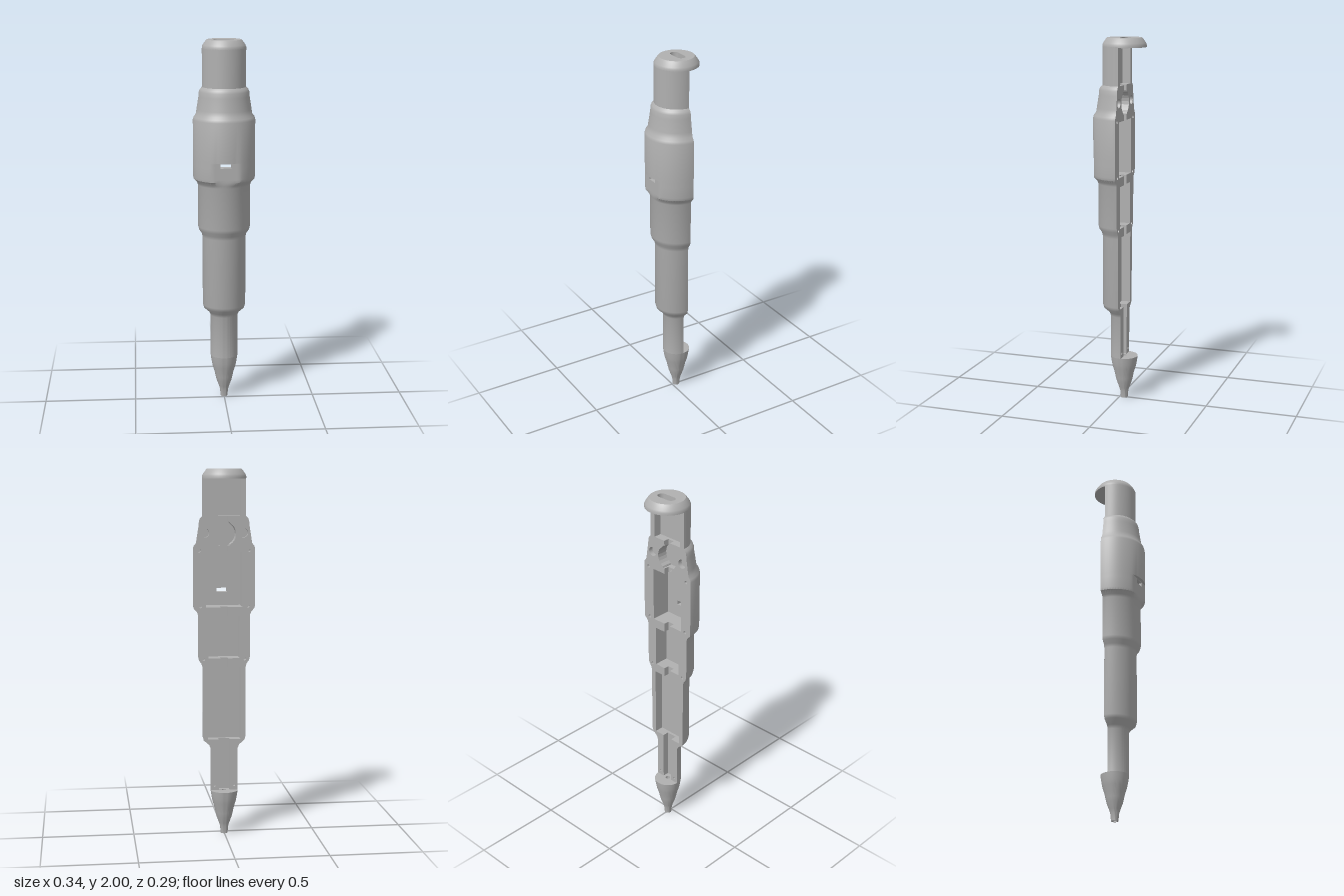
import * as THREE from 'three';
import { toCreasedNormals } from 'three/addons/utils/BufferGeometryUtils.js';

const RIM = -0.004; // parting plane, relative to the barrel axis

// Outer barrel rows: [radius, y, has the flat front panel]
const BARREL = [
  [0.075, 0.245], [0.075, 0.48], [0.083, 0.5], [0.112, 0.525], [0.118, 0.545], [0.118, 0.93],
  [0.123, 0.95], [0.137, 0.97], [0.142, 0.99], [0.142, 1.22], [0.148, 1.235], [0.166, 1.255, 1],
  [0.168, 1.27, 1], [0.168, 1.332, 1], [0.168, 1.355, 1], [0.168, 1.36, 1], [0.168, 1.36],
  [0.168, 1.575], [0.164, 1.59], [0.152, 1.605], [0.148, 1.63], [0.137, 1.7], [0.135, 1.725],
  [0.13, 1.738], [0.118, 1.75], [0.118, 1.955],
];

// Inside bays from the bottom up: [y0, y1, half width at y0, at y1, depth]
const BAYS = [
  [0.245, 0.53, 0.03, 0.03, 0.035],
  [0.53, 0.93, 0.09, 0.09, 0.05],
  [0.93, 0.98, 0.02, 0.02, 0.03],
  [0.98, 1.21, 0.085, 0.085, 0.08],
  [1.21, 1.26, 0.02, 0.02, 0.03],
  [1.26, 1.56, 0.1, 0.1, 0.11],
  [1.56, 1.59, 0.02, 0.02, 0.03],
];
// Round bay, made of tapering slices
const bow = (t) => Math.max(0.03, 0.065 * Math.sin(t * Math.PI));
const bowY = (t) => 1.655 - 0.065 * Math.cos(t * Math.PI);
for (let i = 0; i < 12; i++) {
  const a = i / 12, b = (i + 1) / 12;
  BAYS.push([bowY(a), bowY(b), bow(a), bow(b), 0.06]);
}
BAYS.push([1.72, 1.75, 0.02, 0.02, 0.03], [1.75, 1.95, 0.09, 0.09, 0.045]);

// Round sockets in the rim: [x, y, radius, depth], mirrored
const SOCKETS = [
  [0.105, 1.66, 0.025, 0.025], [0.135, 1.565, 0.009, 0.03], [0.13, 1.265, 0.009, 0.03],
  [0.112, 0.975, 0.008, 0.03], [0.055, 0.27, 0.007, 0.02],
].flatMap(([x, y, r, d]) => [[x, y, r, d], [-x, y, r, d]]);

const WINDOW = { w: 0.029, y0: 1.332, y1: 1.355 };

const shapeOf = (pts) => new THREE.Shape(pts.map(([x, y]) => new THREE.Vector2(x, y)));
const rect = (x, y0, y1) => [[-x, y0], [x, y0], [x, y1], [-x, y1]];

function quads(list) {
  const pos = [];
  for (const [a, b, c, d] of list) pos.push(...a, ...b, ...c, ...a, ...c, ...d);
  const g = new THREE.BufferGeometry();
  g.setAttribute('position', new THREE.Float32BufferAttribute(pos, 3));
  g.computeVertexNormals();
  return g;
}

// Half-round shell with a flat panel and a window opening
function barrelGeometry() {
  const n = 36, faces = [];
  const point = ([r, y, flat], i) => {
    const end = Math.PI / 2 + Math.asin(-RIM / r);
    const a = end * (i / n * 2 - 1);
    const z = r * Math.cos(a);
    return [r * Math.sin(a), y, flat ? Math.min(z, 0.15) : z];
  };
  for (let j = 0; j < BARREL.length - 1; j++) {
    const lo = BARREL[j], hi = BARREL[j + 1];
    for (let i = 0; i < n; i++) {
      if (lo[1] === WINDOW.y0 && i >= 16 && i < 20) continue;
      faces.push([point(lo, i), point(lo, i + 1), point(hi, i + 1), point(hi, i)]);
    }
  }
  return toCreasedNormals(quads(faces), 0.6);
}

// Flat parting face with the bays and sockets cut out
function rimGeometry() {
  const side = BARREL.filter((p, i) => i === 0 || p[1] !== BARREL[i - 1][1]).map(([r, y]) => [r, y]);
  const mirror = (pts) => pts.map(([x, y]) => [-x, y]).reverse();
  const shape = shapeOf([...side, ...mirror(side)]);
  const inner = [];
  BAYS.forEach(([y0, y1, w0, w1], i) => {
    const last = inner[inner.length - 1];
    if (!last || Math.abs(last[0] - w0) > 1e-6) inner.push([w0, i ? y0 : y0 + 0.001]);
    inner.push([w1, y1]);
  });
  shape.holes.push(shapeOf([...inner, ...mirror(inner)]));
  for (const [x, y, r] of SOCKETS) shape.holes.push(new THREE.Path().absarc(x, y, r, 0, Math.PI * 2));
  return new THREE.ShapeGeometry(shape, 10).translate(0, 0, RIM);
}

export function createModel() {
  const model = new THREE.Group();
  const grey = new THREE.MeshStandardMaterial({ color: 0xb0b0b0, side: THREE.DoubleSide });
  grey.name = 'plain grey';
  const body = new THREE.Group();
  body.name = 'penBody';
  body.position.z = -0.026;
  model.add(body);
  const add = (name, geometry) => {
    const mesh = new THREE.Mesh(geometry, grey);
    mesh.name = name;
    body.add(mesh);
  };

  add('barrelShell', barrelGeometry());
  add('partingRim', rimGeometry());

  // Bay side walls and floors
  const walls = [];
  BAYS.forEach(([y0, y1, w0, w1, d], i) => {
    const z = RIM + d;
    for (const s of [-1, 1]) {
      walls.push([[s * w0, y0, RIM], [s * w1, y1, RIM], [s * w1, y1, z], [s * w0, y0, z]]);
    }
    const floor = shapeOf([[-w0, y0], [w0, y0], [w1, y1], [-w1, y1]]);
    if (y0 < WINDOW.y0 && y1 > WINDOW.y1) {
      floor.holes.push(shapeOf(rect(WINDOW.w, WINDOW.y0, WINDOW.y1)));
      // Passage from the bay floor to the window
      const c = rect(WINDOW.w, WINDOW.y0, WINDOW.y1);
      c.forEach((p, k) => {
        const q = c[(k + 1) % 4];
        walls.push([[...p, z], [...q, z], [...q, 0.15], [...p, 0.15]]);
      });
    }
    add('bayFloor', new THREE.ShapeGeometry(floor).translate(0, 0, z));

    // Rib face where the next bay has another section
    const next = BAYS[i + 1];
    if (next && (Math.abs(next[2] - w1) > 1e-6 || next[4] !== d)) {
      const [big, small] = w1 > next[2] ? [[w1, d], [next[2], next[4]]] : [[next[2], next[4]], [w1, d]];
      const [W, D] = big, [w, e] = small;
      const face = shapeOf([[-W, 0], [-W, D], [W, D], [W, 0], [w, 0], [w, e], [-w, e], [-w, 0]]);
      add('ribFace', new THREE.ShapeGeometry(face).rotateX(Math.PI / 2).translate(0, y1, RIM));
    }
  });
  add('bayWalls', quads(walls));

  // Screw holes and round seats
  for (const [x, y, r, d] of SOCKETS) {
    add('socketWall', new THREE.CylinderGeometry(r, r, d, 20, 1, true).rotateX(Math.PI / 2).translate(x, y, RIM + d / 2));
    add('socketFloor', new THREE.CircleGeometry(r, 20).translate(x, y, RIM + d));
  }

  // Full round nose with a bore
  const nose = [
    [0.013, 0], [0.019, 0], [0.023, 0.04], [0.029, 0.06], [0.042, 0.095], [0.048, 0.12], [0.053, 0.145],
    [0.064, 0.18], [0.069, 0.205], [0.073, 0.23], [0.075, 0.245], [0.013, 0.245], [0.013, 0],
  ].map(([r, y]) => new THREE.Vector2(r, y));
  add('noseCone', toCreasedNormals(new THREE.LatheGeometry(nose, 48), 0.6));

  // Full round end cap with a slot
  const cap = [[0.093, 1.95], [0.118, 1.95], [0.118, 1.962], [0.114, 1.972], [0.098, 1.995], [0.093, 2]]
    .map(([r, y]) => new THREE.Vector2(r, y));
  add('capEdge', toCreasedNormals(new THREE.LatheGeometry(cap, 48), 0.6));
  const disc = new THREE.Shape().absarc(0, 0, 0.093, 0, Math.PI * 2);
  const slot = new THREE.Path();
  slot.absarc(0.0315, 0.007, 0.0235, -Math.PI / 2, Math.PI / 2);
  slot.absarc(-0.0315, 0.007, 0.0235, Math.PI / 2, Math.PI * 1.5);
  disc.holes.push(slot);
  add('capCore', new THREE.ExtrudeGeometry(disc, { depth: 0.05, bevelEnabled: false, curveSegments: 24 })
    .rotateX(-Math.PI / 2).translate(0, 1.95, 0));

  return model;
}
